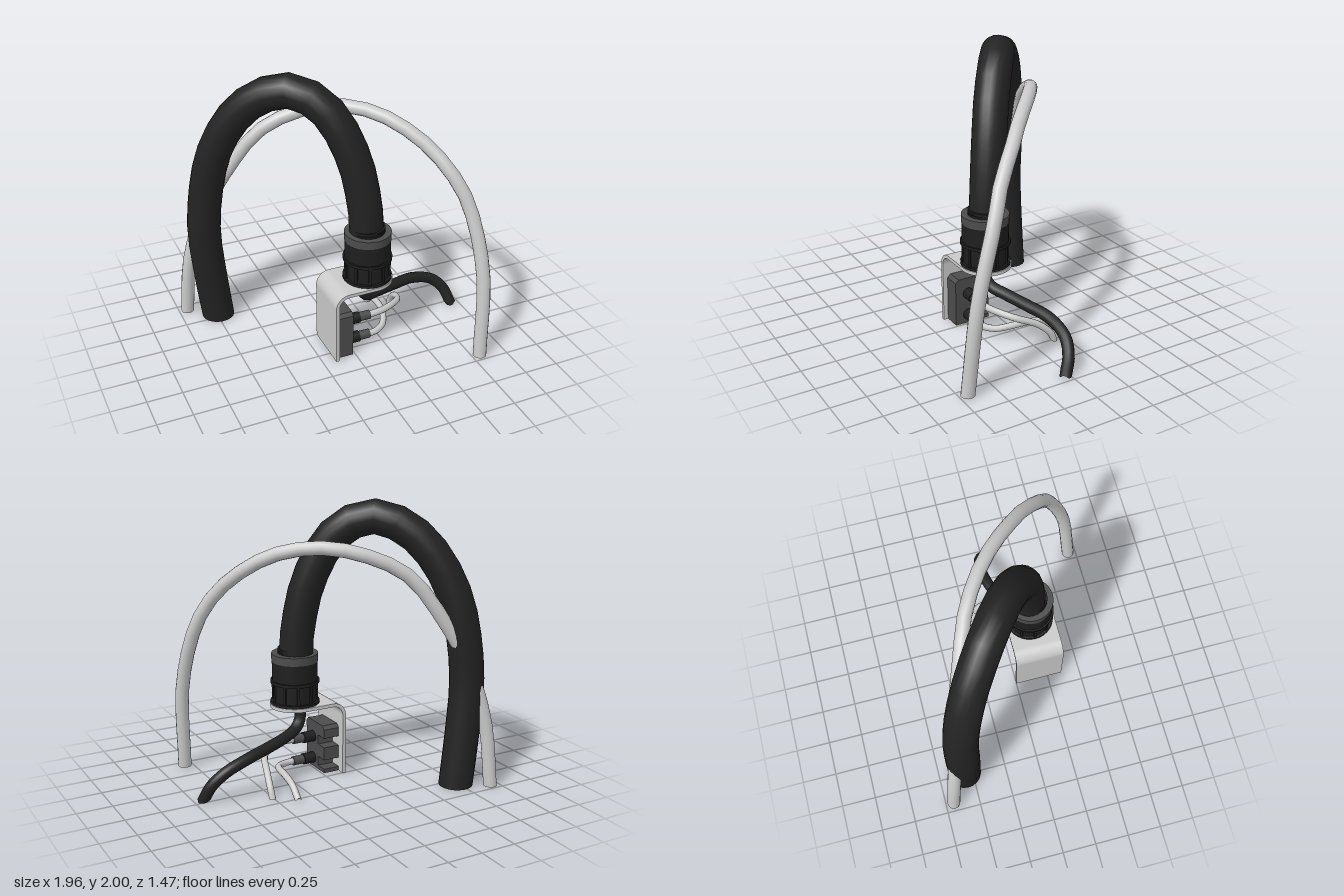
import * as THREE from 'three';

const mat = (name, color, side = THREE.FrontSide) => {
  const m = new THREE.MeshStandardMaterial({ color, side });
  m.name = name;
  return m;
};

export function createModel() {
  const black = mat('black rubber', 0x222222);
  const plastic = mat('black plastic', 0x1e1e1e);
  const grey = mat('dark grey', 0x4c4c4c);
  const metal = mat('light metal', 0xcacaca);
  const white = mat('light grey cable', 0xcacaca, THREE.DoubleSide);

  const model = new THREE.Group();
  model.name = 'cableConnector';

  const add = (name, geo, material, x = 0, y = 0, z = 0, parent = model) => {
    const m = new THREE.Mesh(geo, material);
    m.name = name;
    m.position.set(x, y, z);
    parent.add(m);
    return m;
  };

  // Round hose along points, with ends near the floor cut flat at y = 0
  const hose = (name, pts, r, segs, sides, material) => {
    const curve = new THREE.CatmullRomCurve3(pts.map(p => new THREE.Vector3(...p)));
    const geo = new THREE.TubeGeometry(curve, segs, r, sides);
    const pos = geo.attributes.position;
    for (let i = 0; i < pos.count; i++) if (pos.getY(i) < 0.015) pos.setY(i, 0);
    return add(name, geo, material);
  };
  const endCap = (name, x, z, r, material) => {
    const cap = add(name, new THREE.CircleGeometry(r, 20), material, x, 0, z);
    cap.rotation.x = Math.PI / 2;
  };

  // Thick main hose
  hose('mainHose', [
    [0.15, 0.88, 0.17], [0.15, 0.98, 0.165], [0.13, 1.18, 0.145], [0.09, 1.4, 0.11],
    [0, 1.65, 0.04], [-0.11, 1.81, -0.05], [-0.27, 1.88, -0.17], [-0.44, 1.81, -0.3],
    [-0.585, 1.64, -0.415], [-0.705, 1.37, -0.505], [-0.765, 1.09, -0.545],
    [-0.8, 0.75, -0.555], [-0.775, 0.37, -0.555], [-0.735, 0, -0.555],
  ], 0.12, 22, 20, black);
  endCap('mainHoseEnd', -0.735, -0.555, 0.12, black);

  // Long light cable arching behind the main hose
  hose('archCable', [
    [0.81, 0, 0.69], [0.83, 0.65, 0.62], [0.77, 1.12, 0.47], [0.68, 1.33, 0.37],
    [0.56, 1.5, 0.22], [0.43, 1.61, 0.09], [0.3, 1.675, -0.04], [0.13, 1.7, -0.18],
    [-0.09, 1.66, -0.32], [-0.38, 1.51, -0.44], [-0.61, 1.19, -0.54],
    [-0.79, 0.85, -0.6], [-0.9, 0.45, -0.655], [-0.935, 0, -0.69],
  ], 0.048, 30, 14, white);

  // Thin black cable leaving below the bracket
  hose('thinBlackCable', [
    [0.125, 0.53, 0.165], [0.125, 0.41, 0.165], [0.17, 0.35, 0.145], [0.28, 0.32, 0.09],
    [0.45, 0.295, 0.025], [0.63, 0.27, -0.035], [0.8, 0.21, -0.05],
    [0.895, 0.12, -0.02], [0.94, 0, 0.03],
  ], 0.041, 30, 12, black);
  endCap('thinBlackCableEnd', 0.94, 0.03, 0.041, black);

  // Two small light cables from the sockets
  hose('upperSmallCable', [
    [0.14, 0.235, 0.225], [0.24, 0.237, 0.22], [0.36, 0.23, 0.17], [0.44, 0.21, 0.1],
    [0.49, 0.15, -0.04], [0.51, 0.07, -0.13], [0.51, 0, -0.165],
  ], 0.024, 24, 10, white);
  hose('lowerSmallCable', [
    [0.14, 0.07, 0.225], [0.21, 0.07, 0.22], [0.29, 0.08, 0.17], [0.34, 0.1, 0.07],
    [0.36, 0.105, -0.06], [0.365, 0.075, -0.18], [0.365, 0, -0.265],
  ], 0.024, 24, 10, white);

  // Connector: stacked collars as [name, y low, y high, radius, material]
  const connector = new THREE.Group();
  connector.name = 'connector';
  connector.position.set(0.155, 0, 0.18);
  model.add(connector);
  [
    ['baseFlange', 0.538, 0.56, 0.174, plastic],
    ['lowerBody', 0.56, 0.69, 0.155, plastic],
    ['middleRing', 0.69, 0.712, 0.174, plastic],
    ['upperBody', 0.712, 0.847, 0.162, plastic],
    ['topCollar', 0.847, 0.905, 0.165, grey],
    ['neckRing', 0.905, 0.918, 0.121, plastic],
    ['neck', 0.918, 0.928, 0.114, plastic],
    ['neckUpperRing', 0.928, 0.942, 0.121, plastic],
  ].forEach(([name, y0, y1, r, m]) =>
    add(name, new THREE.CylinderGeometry(r, r, y1 - y0, 32), m, 0, (y0 + y1) / 2, 0, connector));
  for (let i = 0; i < 10; i++) {
    const a = (i + 0.5) / 10 * Math.PI * 2;
    const rib = add('gripRib', new THREE.BoxGeometry(0.02, 0.13, 0.02), plastic,
      Math.sin(a) * 0.155, 0.625, Math.cos(a) * 0.155, connector);
    rib.rotation.y = a;
  }

  // Bracket: upright with a rounded bend, extruded along z
  const flat = depth => ({ depth, bevelEnabled: false, curveSegments: 16 });
  const side = new THREE.Shape();
  side.moveTo(-0.16, 0);
  side.lineTo(-0.135, 0);
  side.lineTo(-0.135, 0.44);
  side.absarc(-0.06, 0.44, 0.075, Math.PI, Math.PI / 2, true);
  side.lineTo(-0.06, 0.54);
  side.absarc(-0.06, 0.44, 0.1, Math.PI / 2, Math.PI, false);
  side.closePath();
  add('bracketUpright', new THREE.ExtrudeGeometry(side, flat(0.36)), metal);

  // Bracket top plate with a half-round end
  const plan = new THREE.Shape();
  plan.moveTo(-0.06, -0.36);
  plan.lineTo(0.155, -0.36);
  plan.absarc(0.155, -0.18, 0.18, -Math.PI / 2, Math.PI / 2, false);
  plan.lineTo(-0.06, 0);
  plan.closePath();
  const plate = new THREE.ExtrudeGeometry(plan, flat(0.025));
  plate.rotateX(-Math.PI / 2);
  add('bracketTop', plate, metal, 0, 0.515, 0);

  // Socket block: chamfered outline in (-z, y) with two notches at the back
  const block = new THREE.Shape([
    [-0.325, 0], [-0.06, 0], [-0.06, 0.03], [-0.15, 0.03], [-0.15, 0.1], [-0.06, 0.1],
    [-0.06, 0.195], [-0.15, 0.195], [-0.15, 0.265], [-0.06, 0.265], [-0.06, 0.33],
    [-0.085, 0.355], [-0.3, 0.355], [-0.325, 0.33],
  ].map(p => new THREE.Vector2(...p)));
  const blockGeo = new THREE.ExtrudeGeometry(block, flat(0.12));
  blockGeo.rotateY(Math.PI / 2);
  add('socketBlock', blockGeo, grey, -0.135, 0, 0);

  // Plugs on the block
  for (const y of [0.235, 0.07]) {
    const part = (name, x0, x1, r, m) => {
      const g = new THREE.CylinderGeometry(r, r, x1 - x0, 20);
      g.rotateZ(Math.PI / 2);
      add(name, g, m, (x0 + x1) / 2, y, 0.225);
    };
    part('plugBody', -0.02, 0.072, 0.041, plastic);
    part('plugSleeve', 0.072, 0.155, 0.033, grey);
  }
  return model;
}
